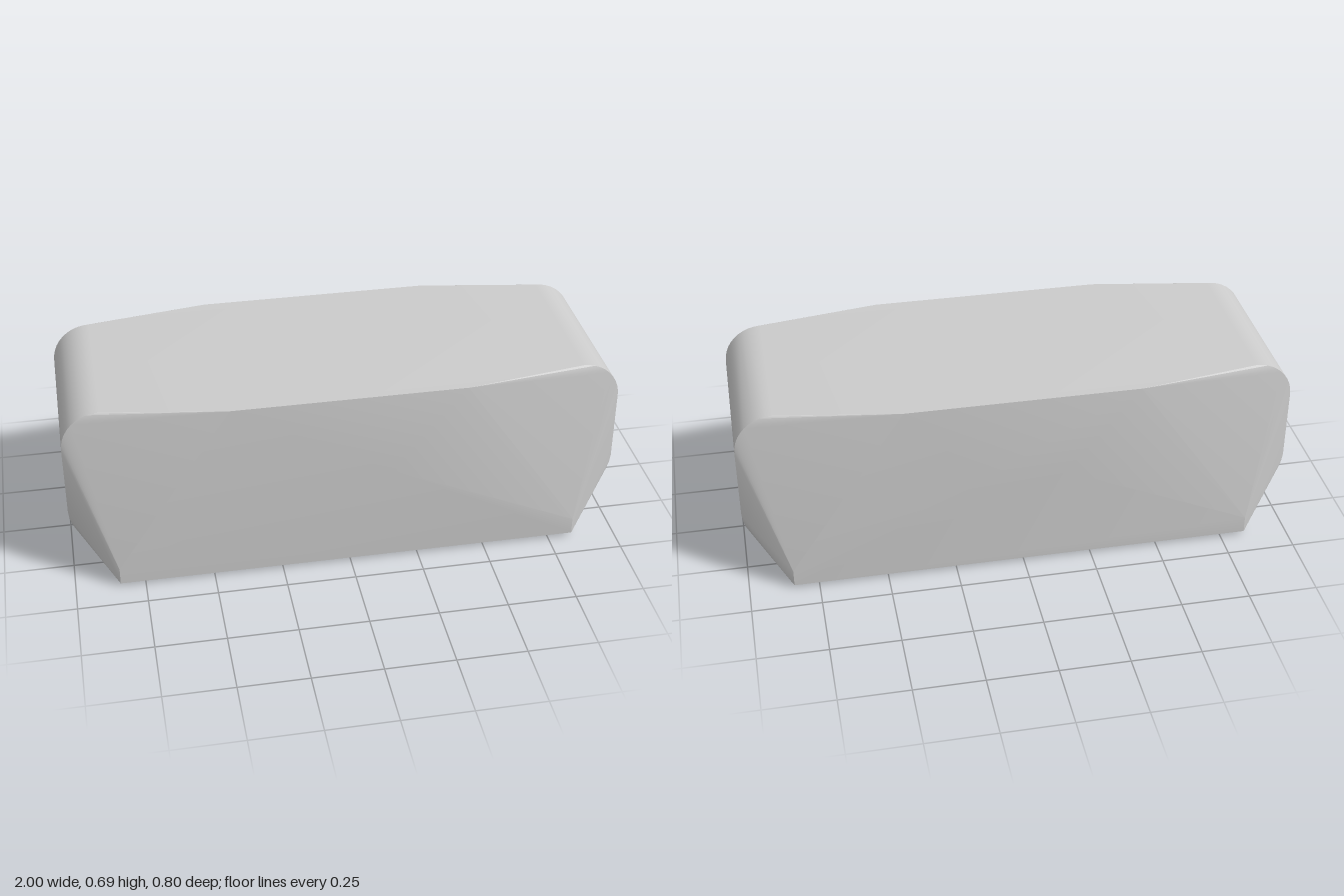
import * as THREE from 'three';
import { ConvexGeometry } from 'three/addons/geometries/ConvexGeometry.js';
import { toCreasedNormals } from 'three/addons/utils/BufferGeometryUtils.js';

const HEIGHT = 0.685;
const END_DEPTH = 0.305;

// Control points of one quarter (+x, +z) of the block
function quarterPoints() {
  const points = [
    // bottom corner with a thin chamfer
    [0.835, 0, 0.385], [0.84, 0.012, 0.4], [0.84, 0.075, 0.4],
    // shallow bulge of the long face
    [0.15, 0.38, 0.4], [0.42, HEIGHT, 0.378],
    // softened lower edge of the end face
    [0.975, 0.2, END_DEPTH], [0.987, 0.222, END_DEPTH],
    [0.996, 0.25, END_DEPTH], [1, 0.28, END_DEPTH],
  ];
  // rounded upper edge of the end face
  const radius = 0.14, steps = 10;
  for (let i = 0; i <= steps; i++) {
    const a = (i / steps) * Math.PI / 2;
    points.push([
      1 - radius + radius * Math.cos(a),
      HEIGHT - radius + radius * Math.sin(a),
      END_DEPTH,
    ]);
  }
  return points;
}

export function createModel() {
  const group = new THREE.Group();
  group.name = 'roundedBlock';

  // Mirror the quarter across x and z, then wrap it in a convex skin
  const points = [];
  for (const sx of [-1, 1]) {
    for (const sz of [-1, 1]) {
      for (const [x, y, z] of quarterPoints()) {
        points.push(new THREE.Vector3(sx * x, y, sz * z));
      }
    }
  }
  const geometry = toCreasedNormals(new ConvexGeometry(points), 0.2);
  const body = new THREE.Mesh(geometry, new THREE.MeshStandardMaterial({ color: 0xcccccc }));
  body.name = 'body';
  group.add(body);
  return group;
}
